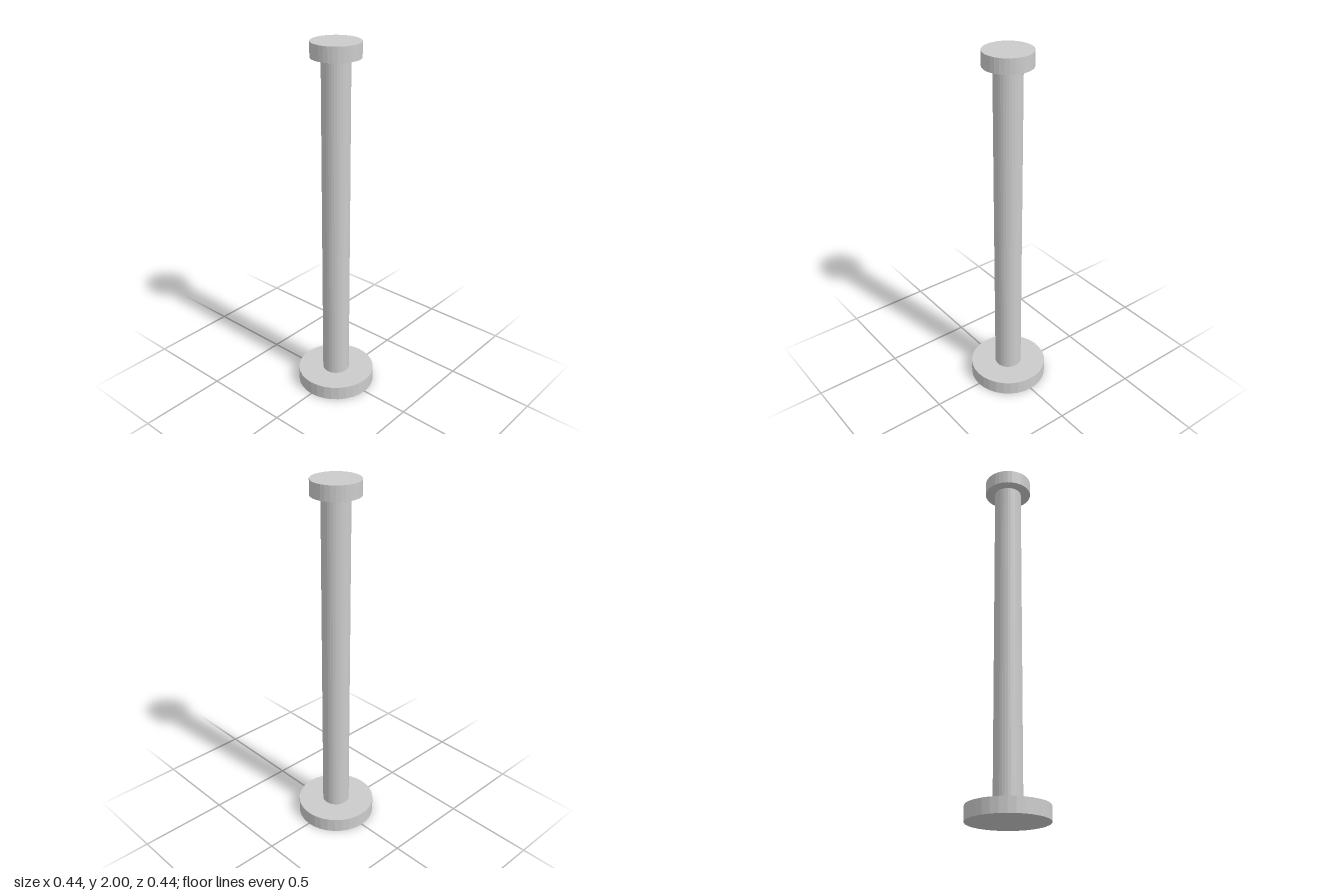
import * as THREE from 'three';

export function createModel() {
  const model = new THREE.Group();
  const material = new THREE.MeshStandardMaterial({ color: 0xcccccc, flatShading: true });

  // Upright 32-sided disc or rod spanning two heights
  const addCylinder = (name, radius, bottom, top) => {
    const mesh = new THREE.Mesh(new THREE.CylinderGeometry(radius, radius, top - bottom, 32), material);
    mesh.position.y = (bottom + top) / 2;
    mesh.name = name;
    model.add(mesh);
  };

  addCylinder('base', 0.218, 0, 0.08);
  addCylinder('post', 0.076, 0.08, 1.92);
  addCylinder('cap', 0.131, 1.92, 2);

  return model;
}
